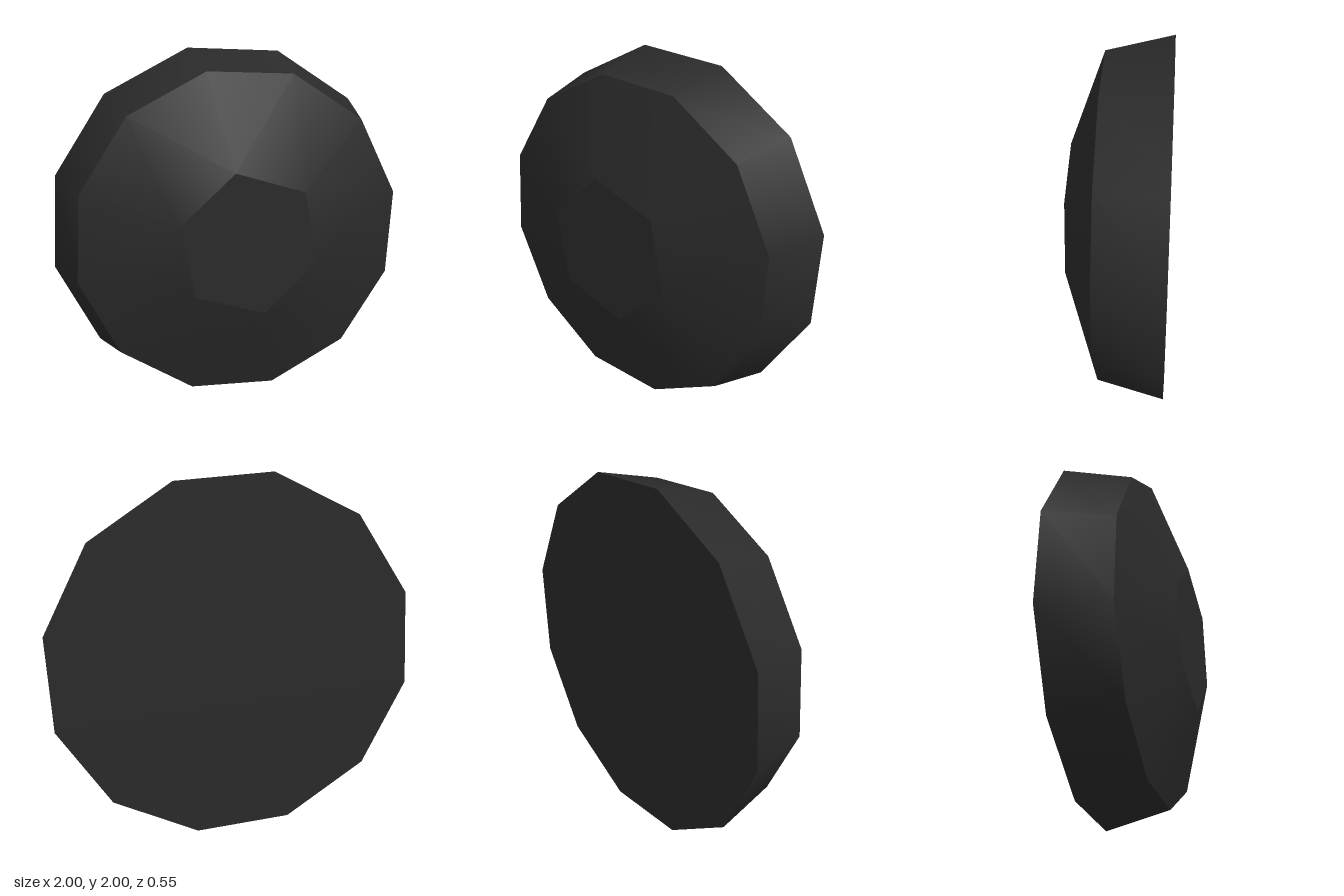
import * as THREE from 'three';

const TURN = THREE.MathUtils.degToRad(-18.3);

// Regular polygon of points facing +z, centred on the model's axis
function ring(sides, radius, z) {
  return Array.from({ length: sides }, (_, i) => {
    const a = TURN + (i / sides) * Math.PI * 2;
    return [radius * Math.cos(a), 1 + radius * Math.sin(a), z];
  });
}

// Indexed surface with normals smoothed inside the part only
function surface(name, points, faces, material) {
  const geometry = new THREE.BufferGeometry();
  geometry.setAttribute('position', new THREE.Float32BufferAttribute(points.flat(), 3));
  geometry.setIndex(faces.flat());
  geometry.computeVertexNormals();
  const mesh = new THREE.Mesh(geometry, material);
  mesh.name = name;
  return mesh;
}

export function createModel() {
  const charcoal = new THREE.MeshStandardMaterial({ color: 0x2a2a2a });
  charcoal.name = 'charcoal';
  const group = new THREE.Group();
  group.name = 'roundKnob';

  const back = ring(12, 1.021, -0.275);
  const rim = ring(12, 0.93, 0.09);
  const hex = ring(6, 0.408, 0.275);

  // Tapered side wall
  const wall = [];
  for (let i = 0; i < 12; i++) {
    const j = (i + 1) % 12;
    wall.push([i, j, 12 + j], [i, 12 + j, 12 + i]);
  }
  group.add(surface('sideWall', [...back, ...rim], wall, charcoal));

  // Sloping front: twelve-sided rim narrowing to a six-sided top
  const slope = [];
  for (let k = 0; k < 6; k++) {
    const r = 2 * k, h = 12 + k, nextHex = 12 + (k + 1) % 6;
    slope.push([h, (r + 11) % 12, r], [h, r, r + 1], [h, r + 1, nextHex]);
  }
  group.add(surface('frontSlope', [...rim, ...hex], slope, charcoal));

  // Flat front and back faces
  const fan = (n, flip) => Array.from({ length: n - 2 }, (_, i) =>
    flip ? [0, i + 2, i + 1] : [0, i + 1, i + 2]);
  group.add(surface('frontFace', hex, fan(6, false), charcoal));
  group.add(surface('backFace', back, fan(12, true), charcoal));

  return group;
}
